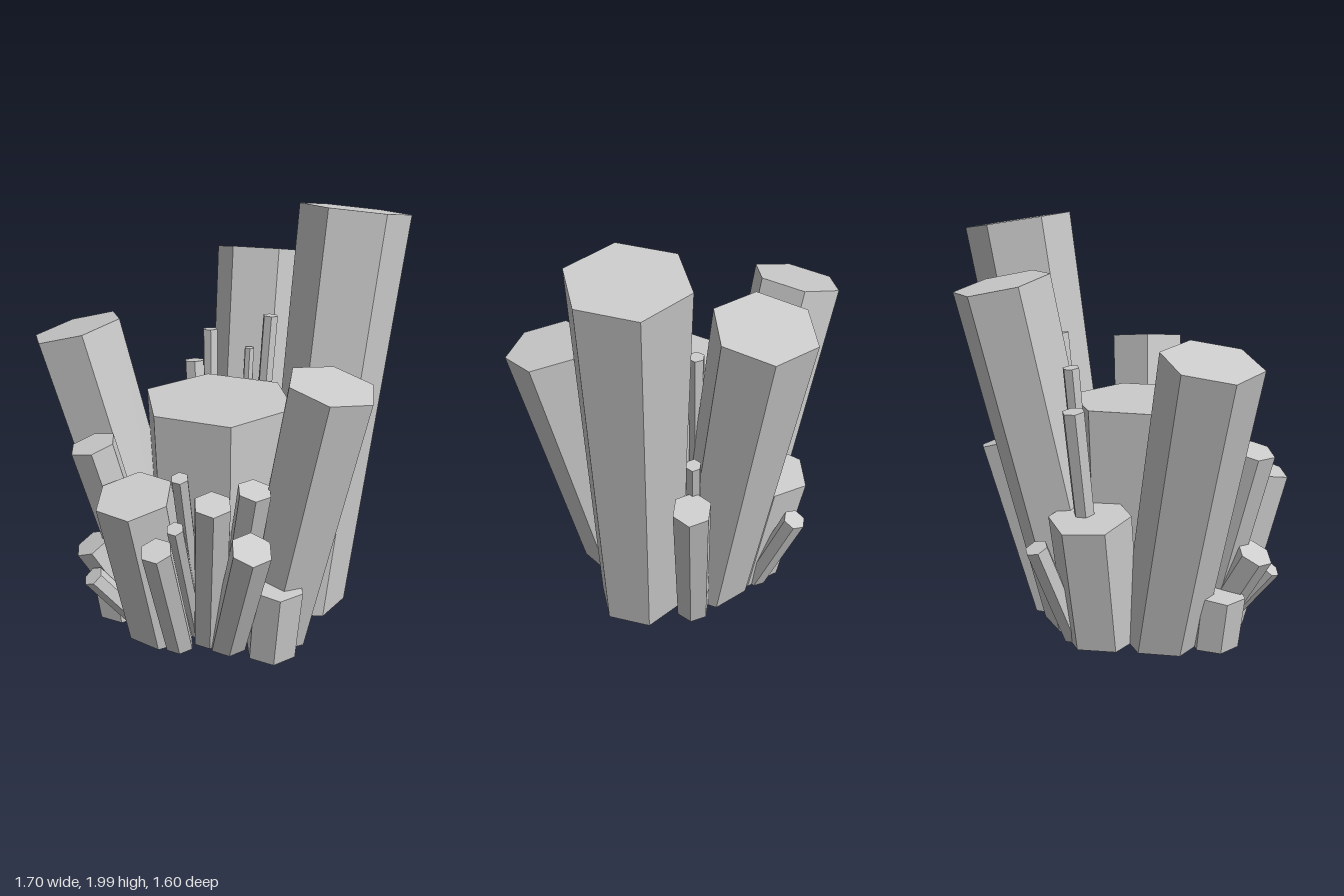
import * as THREE from 'three';

const UP = new THREE.Vector3(0, 1, 0);
const material = new THREE.MeshStandardMaterial({ color: 0xcccccc, flatShading: true });

// Leaning six-sided prism: square-cut tip, root trimmed flat on the ground.
// tip and root are its axis ends, angle turns the corners in plan (degrees)
function crystal(name, tip, radius, root, angle = 0) {
  const taper = 1 - 0.1 * tip.y; // the taller, the narrower at the root
  const axis = tip.clone().sub(root);
  const length = axis.length();
  const lean = new THREE.Quaternion().setFromUnitVectors(UP, axis.normalize());
  const geometry = new THREE.CylinderGeometry(radius, radius * taper, length, 6);
  geometry.rotateY(THREE.MathUtils.degToRad(90 - angle));
  geometry.translate(0, length / 2, 0);

  const pos = geometry.attributes.position;
  const p = new THREE.Vector3(), q = new THREE.Vector3();
  for (let i = 0; i < pos.count; i++) {
    p.fromBufferAttribute(pos, i);
    const isRoot = p.y < length / 2;
    q.set(p.x / taper, length, p.z / taper).applyQuaternion(lean).add(root);
    p.applyQuaternion(lean).add(root);
    // slide root corners along their edge onto y = 0
    if (isRoot) p.lerp(q, -p.y / (q.y - p.y));
    pos.setXYZ(i, p.x, p.y, p.z);
  }
  const flat = geometry.toNonIndexed();
  flat.computeVertexNormals();
  const mesh = new THREE.Mesh(flat, material);
  mesh.name = name;
  return mesh;
}

// Crystals fanning out from the middle: each root is its tip's plan position drawn inward
function fan(name, spreadX, spreadZ, tips) {
  const group = new THREE.Group();
  group.name = name;
  tips.forEach(([x, y, z, radius], i) => {
    const root = new THREE.Vector3(x * spreadX, 0, z * spreadZ);
    group.add(crystal(`${name}${i + 1}`, new THREE.Vector3(x, y, z), radius, root));
  });
  return group;
}

export function createModel() {
  const group = new THREE.Group();
  group.name = 'crystalCluster';

  // large crystals, each with its own lean and turn
  const large = (name, x, y, z, radius, rootX, rootZ, angle) => group.add(
    crystal(name, new THREE.Vector3(x, y, z), radius, new THREE.Vector3(rootX, 0, rootZ), angle));
  large('centralCrystal', 0.04, 1.12, 0.08, 0.37, 0.04, 0.08, -5);
  large('tallCrystal', 0.48, 1.955, -0.47, 0.262, 0.39, -0.19, 39);
  large('backCrystal', -0.05, 1.7, -0.595, 0.228, 0.02, -0.23, 45);
  large('rightCrystal', -0.636, 1.42, 0.23, 0.225, -0.28, 0.11, 49);
  large('leftCrystal', 0.65, 1.325, 0.225, 0.205, 0.38, 0.18, 11);
  large('frontCrystal', -0.125, 0.8, 0.59, 0.182, -0.1, 0.4, 8);
  large('backSideCrystal', -0.29, 0.65, -0.24, 0.195, -0.2, -0.17, 49);

  // medium and small crystals around the front
  group.add(fan('frontSmallCrystal', 0.53, 0.66, [
    [-0.4, 0.96, 0.49, 0.112],
    [0.065, 0.64, 0.73, 0.073],
    [0.445, 0.66, 0.57, 0.095],
    [0.255, 0.83, 0.565, 0.087],
    [0.375, 0.85, 0.395, 0.08],
    [-0.41, 0.46, 0.52, 0.09],
    [-0.345, 0.35, 0.62, 0.052],
  ]));

  // thin crystals between them
  group.add(fan('frontThinCrystal', 0.5, 0.55, [
    [0.12, 0.945, 0.61, 0.04],
    [0.115, 0.72, 0.65, 0.04],
  ]));

  // short, nearly upright stubs at the sides
  group.add(fan('stubCrystal', 0.93, 0.95, [
    [-0.4, 0.27, 0.36, 0.12],
    [0.47, 0.37, 0.34, 0.127],
  ]));

  // thin and small crystals at the back
  group.add(fan('backSmallCrystal', 0.65, 0.62, [
    [0.13, 1.44, -0.305, 0.038],
    [0.03, 1.27, -0.28, 0.025],
    [-0.2, 1.33, -0.305, 0.04],
    [-0.295, 1.15, -0.31, 0.053],
    [0.25, 1.07, -0.56, 0.035],
    [0.28, 0.875, -0.615, 0.09],
    [-0.305, 0.52, -0.49, 0.056],
    [-0.25, 0.62, -0.36, 0.055],
  ]));
  return group;
}
